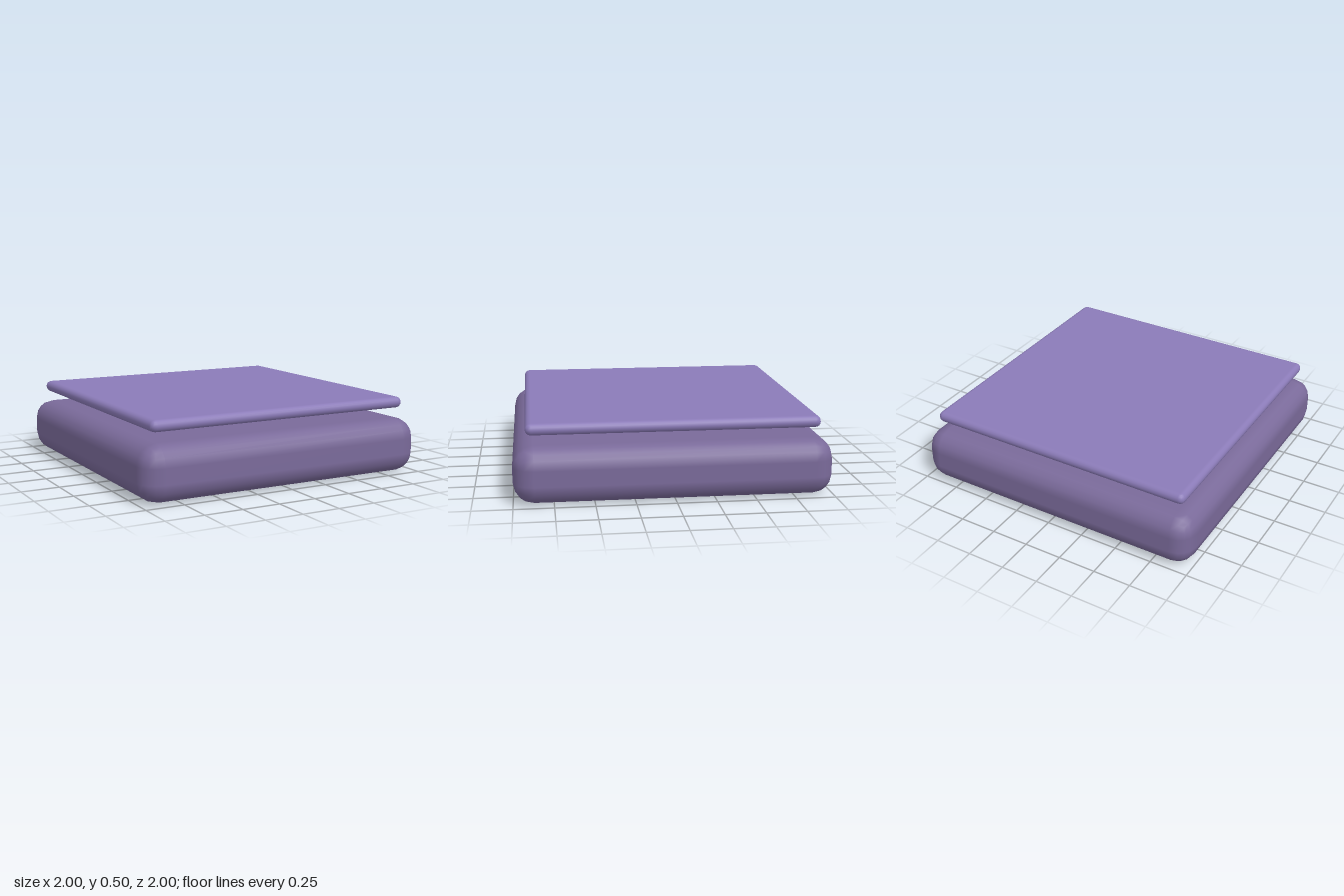
import * as THREE from 'three';
import { RoundedBoxGeometry } from 'three/addons/geometries/RoundedBoxGeometry.js';

// Square slab with rounded edges, resting at height y
function slab(name, width, height, radius, y, color) {
  const mesh = new THREE.Mesh(
    new RoundedBoxGeometry(width, height, width, 2, radius),
    new THREE.MeshStandardMaterial({ color })
  );
  mesh.name = name;
  mesh.position.y = y + height / 2;
  return mesh;
}

export function createModel() {
  const model = new THREE.Group();
  model.name = 'floatingTopPlatform';

  // Thick soft-edged base
  model.add(slab('base', 2, 0.36, 0.13, 0, 0x7a6a9a));

  // Thin panel hovering above the base
  model.add(slab('topPanel', 1.836, 0.075, 0.0375, 0.426, 0x8b7bb8));

  return model;
}
